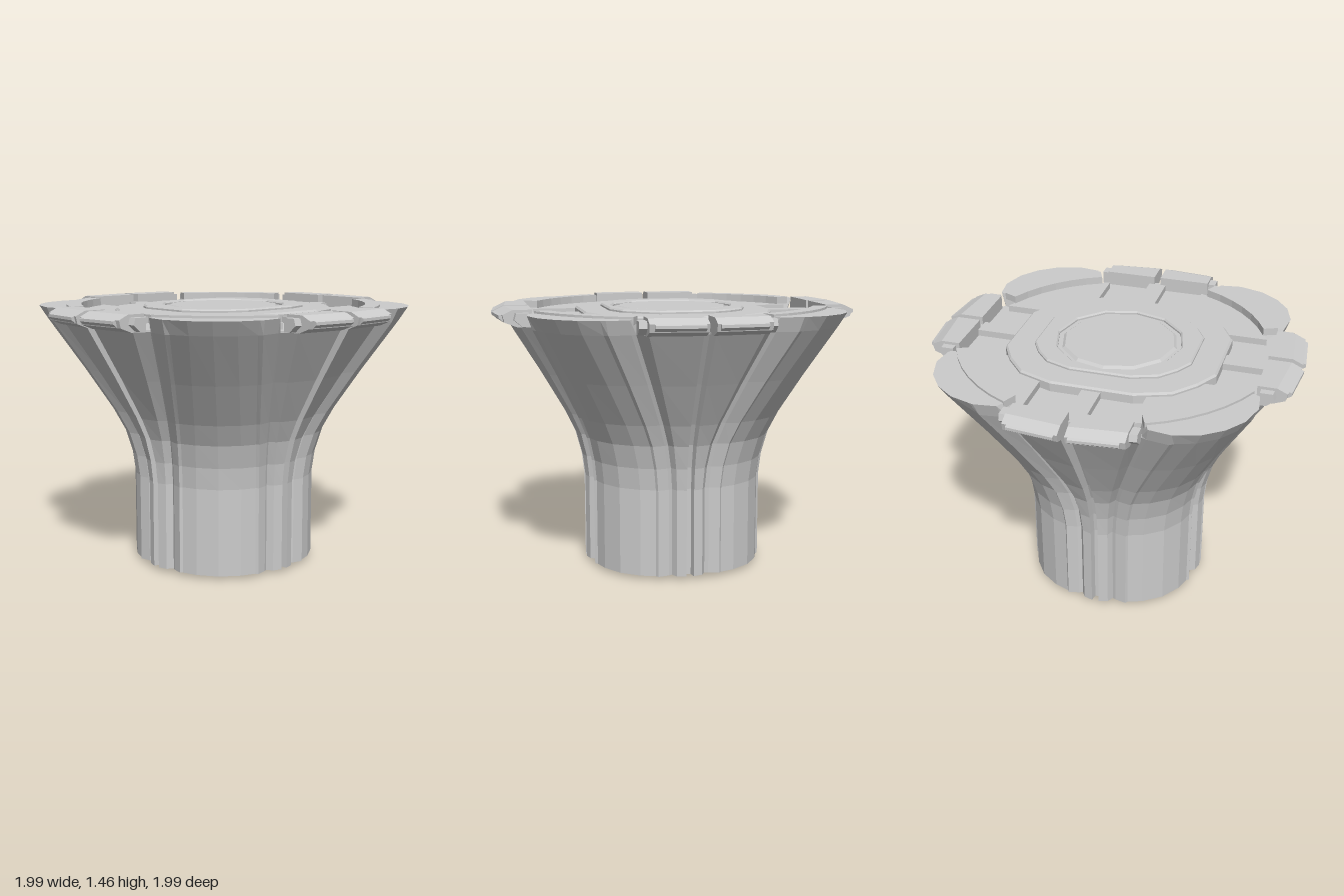
import * as THREE from 'three';

const material = new THREE.MeshStandardMaterial({ color: 0xcccccc, flatShading: true });

function add(parent, name, geometry) {
  const mesh = new THREE.Mesh(geometry, material);
  mesh.name = name;
  parent.add(mesh);
  return mesh;
}

// Horizontal slab cut from a plan outline, optionally with a hole
function slab(points, y0, y1, hole, bevel = 0) {
  const shape = new THREE.Shape(points);
  if (hole) shape.holes.push(new THREE.Path(hole));
  const g = new THREE.ExtrudeGeometry(shape, {
    depth: y1 - y0 - bevel, bevelEnabled: bevel > 0, bevelThickness: bevel,
    bevelSize: bevel, bevelOffset: -bevel, bevelSegments: 1,
  });
  return g.rotateX(-Math.PI / 2).translate(0, y0, 0);
}

function arc(r, a0, a1, n) {
  return Array.from({ length: n + 1 }, (_, i) => {
    const a = THREE.MathUtils.degToRad(a0 + ((a1 - a0) * i) / n);
    return new THREE.Vector2(r * Math.cos(a), r * Math.sin(a));
  });
}

// Eighth of the plan, axis to diagonal: [base u, base v, flared u, flared v, lip scale, lip height]
const EIGHTH = [
  [0.46, 0, 0.84, 0, 1, 1.38],
  [0.46, 0.012, 0.84, 0.014, 1, 1.38],
  [0.5, 0.02, 0.905, 0.03, 1, 1.38],
  [0.485, 0.07, 0.86, 0.29, 1, 1.38],
  [0.45, 0.09, 0.79, 0.34, 1, 1.38],
  [0.46, 0.11, 0.8, 0.365, 1.035, 1.445],
  [0.472, 0.17, 0.815, 0.48, 1.035, 1.445],
  [0.458, 0.18, 0.8, 0.5, 1.045, 1.445],
  [0.43, 0.26, 0.765, 0.6, 1.05, 1.445],
  [0.36, 0.36, 0.695, 0.695, 1.05, 1.445],
];

// Flared column: mirrored and repeated plan, lofted upward, then closed over the top
function columnGeometry() {
  const mirrored = EIGHTH.slice(1, -1).reverse().map(([a, b, c, d, s, y]) => [b, a, d, c, s, y]);
  const quarter = [...EIGHTH, ...mirrored, [0, 0.46, 0, 0.84, 1, 1.38]].slice(0, -1);
  let plan = [], turn = quarter;
  for (let k = 0; k < 4; k++) {
    plan = plan.concat(turn);
    turn = turn.map(([a, b, c, d, s, y]) => [-b, a, -d, c, s, y]);
  }
  const levels = [[0.02, 0], [0.5, 0], [0.62, 0.035], [0.75, 0.12], [0.87, 0.26], [1.1, 0.59], [1.37, 1]];
  const rows = [plan.map(() => [0, 0.02, 0])];
  for (const [y, f] of levels) {
    rows.push(plan.map(([a, b, c, d]) => [a + (c - a) * f, y, b + (d - b) * f]));
  }
  const inner = (p, y) => {
    const k = 0.79 / Math.hypot(p[2], p[3]);
    return [p[2] * k, y, p[3] * k];
  };
  rows.push(plan.map((p) => [p[2] * p[4], p[5], p[3] * p[4]]));
  rows.push(plan.map((p) => inner(p, p[5])));
  rows.push(plan.map((p) => inner(p, 1.38)));
  rows.push(plan.map(() => [0, 1.38, 0]));

  const n = plan.length, index = [];
  for (let j = 0; j < rows.length - 1; j++) {
    for (let i = 0; i < n; i++) {
      const a = j * n + i, b = j * n + ((i + 1) % n);
      if (j < rows.length - 2) index.push(a, a + n, b + n);
      if (j > 0) index.push(a, b + n, b);
    }
  }
  const g = new THREE.BufferGeometry();
  g.setAttribute('position', new THREE.Float32BufferAttribute(rows.flat(2), 3));
  g.setIndex(index);
  g.computeVertexNormals();
  return g;
}

// Bevelled rim block: radial profile swept sideways and swept back away from the axis
function blockGeometry(profile, v0, v1) {
  const shape = new THREE.Shape(profile.map(([u, y]) => new THREE.Vector2(u, y)));
  const g = new THREE.ExtrudeGeometry(shape, { depth: v1 - v0, bevelEnabled: false }).translate(0, 0, v0);
  const p = g.attributes.position;
  for (let i = 0; i < p.count; i++) {
    if (p.getX(i) > 0.85) p.setX(i, p.getX(i) - Math.abs(p.getZ(i)) * 0.1);
  }
  g.computeVertexNormals();
  return g;
}

const BLOCK = [[0.8, 1.37], [0.91, 1.37], [0.975, 1.395], [0.985, 1.435], [0.93, 1.46], [0.8, 1.46]];
const FACE = [[0.9, 1.39], [0.98, 1.4], [1.0, 1.415], [1.0, 1.43], [0.94, 1.45], [0.9, 1.45]];
const WING = [[0.82, 1.375], [0.89, 1.375], [0.93, 1.41], [0.92, 1.445], [0.82, 1.445]];

// Stretched octagonal outline with softened corners
function roundedPlan(x, z) {
  const corner = [[1, 0.4], [0.88, 0.64], [0.7, 0.87], [0.38, 1]];
  const pts = [];
  for (const [sx, sz] of [[1, 1], [-1, 1], [-1, -1], [1, -1]]) {
    const list = sx * sz > 0 ? corner : [...corner].reverse();
    for (const [a, b] of list) pts.push(new THREE.Vector2(a * x * sx, b * z * sz));
  }
  return pts;
}

export function createModel() {
  const model = new THREE.Group();
  model.name = 'flaredPedestal';
  add(model, 'column', columnGeometry());
  add(model, 'footDisc', new THREE.CylinderGeometry(0.345, 0.325, 0.03, 14)).position.y = 0.015;

  for (let k = 0; k < 4; k++) {
    const side = new THREE.Group();
    side.name = 'rimQuarter';
    side.rotation.y = (k * Math.PI) / 2;
    model.add(side);

    // Pair of rim blocks either side of the axis gap
    for (const s of [-1, 1]) {
      const span = (a, b) => (s > 0 ? [a, b] : [-b, -a]);
      add(side, 'rimBlock', blockGeometry(BLOCK, ...span(0.018, 0.305)));
      add(side, 'rimBlockFace', blockGeometry(FACE, ...span(0.035, 0.28)));
      add(side, 'rimBlockWing', blockGeometry(WING, ...span(0.305, 0.345)));
    }

    // Raised spoke across the recessed ring
    add(side, 'spoke', new THREE.BoxGeometry(0.36, 0.04, 0.1)).position.set(0.64, 1.395, 0);

    // Diagonal floor plate and curved rim above it
    add(side, 'floorPlate', slab([new THREE.Vector2(0.28, 0.28), ...arc(0.8, 20.5, 69.5, 6)], 1.37, 1.415));
    add(side, 'curvedRim', slab([...arc(0.87, 24, 66, 6), ...arc(0.79, 66, 24, 6)], 1.39, 1.457));
  }

  // Stepped centre
  add(model, 'centrePlate', slab(roundedPlan(0.575, 0.515), 1.37, 1.435, null, 0.01));
  add(model, 'centreRing', slab(roundedPlan(0.43, 0.375), 1.42, 1.452, arc(0.34, 0, 330, 11), 0.008));
  add(model, 'centreDisc', new THREE.CylinderGeometry(0.3, 0.33, 0.025, 12)).position.y = 1.435;
  return model;
}
